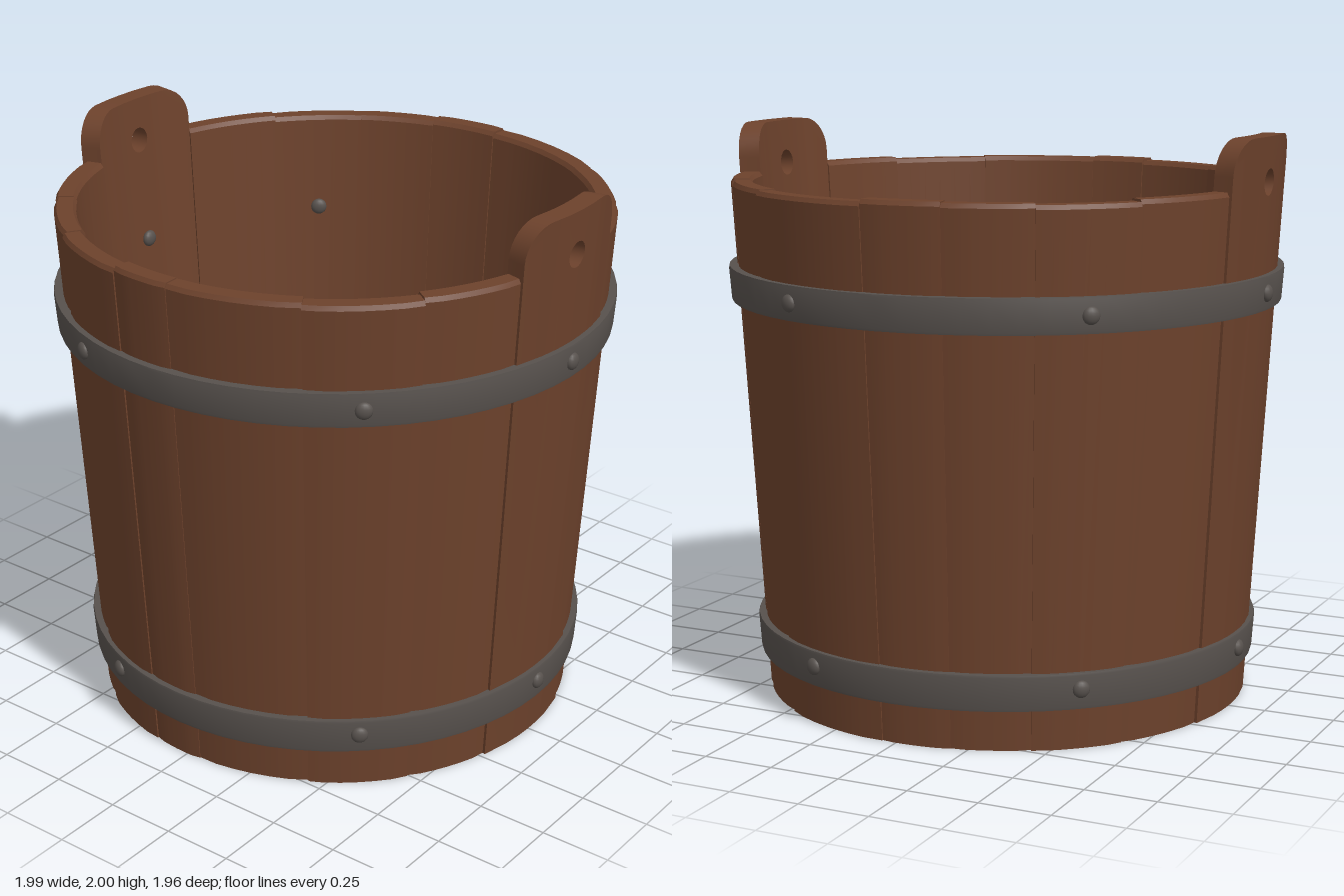
import * as THREE from 'three';
import { mergeGeometries, toCreasedNormals } from 'three/addons/utils/BufferGeometryUtils.js';

const wood = new THREE.MeshStandardMaterial({ color: 0x6d422c });
wood.name = 'brown wood';
const iron = new THREE.MeshStandardMaterial({ color: 0x57514d });
iron.name = 'dark iron';

const REF = 0.97; // radius at which flat widths are measured
const outerR = (y) => 0.86 + 0.06 * y;
const innerR = (y) => 0.775 + 0.065 * y;
const rad = THREE.MathUtils.degToRad;

// Wraps a flat board (x = width, y = height, z = 0 inside to 1 outside) around the bucket
function bend(geometry, mid, offset = 0) {
  const p = geometry.attributes.position;
  for (let i = 0; i < p.count; i++) {
    const y = p.getY(i);
    const r = THREE.MathUtils.lerp(innerR(y), outerR(y), p.getZ(i)) + offset;
    const a = mid - p.getX(i) / REF;
    p.setXYZ(i, r * Math.cos(a), y, r * Math.sin(a));
  }
  return toCreasedNormals(geometry, 0.4);
}

// Plain stave with softened long edges and rim
function staveGeometry(from, to, height, offset) {
  const width = rad(to - from) * REF;
  const g = new THREE.BoxGeometry(width, height, 1, 6, 2, 1);
  const p = g.attributes.position;
  for (let i = 0; i < p.count; i++) {
    let y = p.getY(i) + height / 2;
    let d = p.getZ(i) + 0.5;
    const rim = y > height - 0.001;
    if (Math.abs(y - height / 2) < 0.001) y = height - 0.015;
    if (rim) d = d > 0.5 ? 0.87 : 0.13;
    if (d > 0.5 && Math.abs(p.getX(i)) > width / 2 - 0.001) d -= 0.06;
    p.setXYZ(i, p.getX(i), y, d);
  }
  return bend(g, rad((from + to) / 2), offset);
}

// Tall stave with rounded shoulders and a round hole, made of upright strips
function earGeometry(mid) {
  const half = rad(15.5) * REF, top = 2, holeY = 1.845, holeR = 0.046, corner = 0.12;
  const strips = [[[0, 0], [0.07, 0], [0.07, top], [0, top]]];
  for (let i = 0; i <= 10; i++) {
    const a = Math.PI / 2 - (i / 10) * Math.PI;
    strips[0].push([holeR * Math.cos(a), holeY + holeR * Math.sin(a)]);
  }
  const inner = half - corner;
  strips.push([[0.07, 0], [inner, 0], [inner, top], [0.07, top]]);
  const shoulder = [[inner, 0], [half, 0]];
  for (let i = 0; i <= 8; i++) {
    const a = (i / 8) * Math.PI / 2;
    shoulder.push([inner + corner * Math.cos(a), top - corner + corner * Math.sin(a)]);
  }
  strips.push(shoulder);
  const parts = [];
  for (const side of [1, -1]) {
    for (const strip of strips) {
      const shape = new THREE.Shape(strip.map(([u, y]) => new THREE.Vector2(u * side, y)));
      parts.push(new THREE.ExtrudeGeometry(shape, { depth: 1, bevelEnabled: false }));
    }
  }
  return bend(mergeGeometries(parts), mid, 0.006);
}

// Floor plank between two x positions, cut to the round
function plankGeometry(x0, x1) {
  const R = 0.785, points = [], n = 10;
  const edge = (i) => THREE.MathUtils.lerp(x0, x1, i / n);
  const z = (x) => Math.sqrt(Math.max(0, R * R - x * x));
  for (let i = 0; i <= n; i++) points.push(new THREE.Vector2(edge(i), z(edge(i))));
  for (let i = n; i >= 0; i--) {
    if (z(edge(i)) > 0.001) points.push(new THREE.Vector2(edge(i), -z(edge(i))));
  }
  const g = new THREE.ExtrudeGeometry(new THREE.Shape(points), { depth: 0.08, bevelEnabled: false });
  return g.rotateX(-Math.PI / 2).translate(0, 0.05, 0);
}

// Closed ring with a four-cornered section
function hoopGeometry(y0, y1, in0, in1, out0, out1) {
  const section = [[in0, y0], [out0, y0], [out0 + 0.002, y0 + 0.008], [out1 + 0.002, y1 - 0.008],
    [out1, y1], [in1, y1], [in0, y0]].map(([r, y]) => new THREE.Vector2(r, y));
  return toCreasedNormals(new THREE.LatheGeometry(section, 64), 0.5);
}

export function createModel() {
  const model = new THREE.Group();
  const add = (name, geometry, material, parent = model) => {
    const mesh = new THREE.Mesh(geometry, material);
    mesh.name = name;
    parent.add(mesh);
    return mesh;
  };
  const group = (name) => {
    const g = new THREE.Group();
    g.name = name;
    model.add(g);
    return g;
  };

  // Staves on the front and back, between the two ears
  const staves = group('staves');
  const seams = [
    [15.5, 36, 59, 86.5, 100, 122, 142.5, 164.5],
    [195.5, 218, 239, 257, 273.5, 304, 327, 344.5],
  ];
  for (const row of seams) {
    for (let i = 0; i < row.length - 1; i++) {
      const height = 1.83 - 0.008 * ((i * 2) % 3) / 2;
      add('stave', staveGeometry(row[i], row[i + 1], height, [0, 0.005, -0.003][i % 3]), wood, staves);
    }
  }

  // Pierced ears on the left and right
  add('leftEar', earGeometry(0), wood);
  add('rightEar', earGeometry(Math.PI), wood);

  // Floor planks
  const floor = group('floor');
  const cuts = [-0.785, -0.49, -0.15, 0.17, 0.49, 0.785];
  for (let i = 0; i < cuts.length - 1; i++) {
    add('floorPlank', plankGeometry(cuts[i] + 0.001, cuts[i + 1] - 0.001), wood, floor);
  }

  // Iron hoops
  add('upperHoop', hoopGeometry(1.41, 1.53, 0.935, 0.94, 0.971, 0.979), iron);
  add('lowerHoop', hoopGeometry(0.145, 0.27, 0.86, 0.865, 0.89, 0.898), iron);
  add('innerHoop', hoopGeometry(0.13, 0.26, 0.795, 0.8, 0.766, 0.772).scale(1, 1, 1), iron).material = iron;

  // Rivets, domed on both the outside and the inside
  const rivets = group('rivets');
  const dome = new THREE.SphereGeometry(0.03, 14, 10).scale(0.6, 1, 1);
  const rows = [[1.47, 0.977], [1.47, 0.868], [0.215, 0.897], [0.215, 0.766]];
  for (const [y, r] of rows) {
    for (const degrees of [0, 47.5, 111.5, 180, 228.5, 291.5]) {
      const a = rad(degrees);
      const rivet = add('rivet', dome, iron, rivets);
      rivet.position.set(r * Math.cos(a), y, r * Math.sin(a));
      rivet.rotation.y = -a;
    }
  }
  return model;
}
